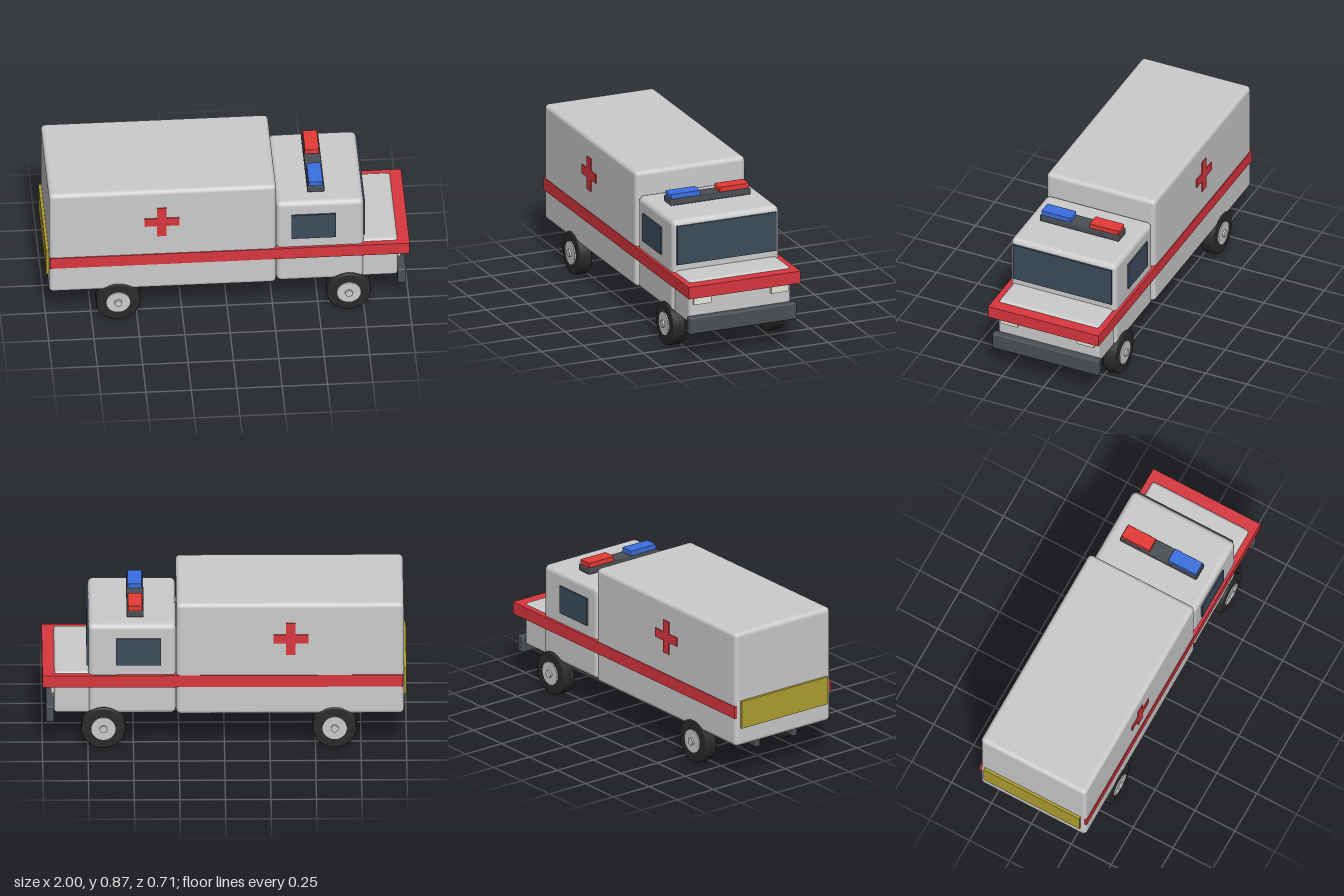
import * as THREE from 'three';
import { RoundedBoxGeometry } from 'three/addons/geometries/RoundedBoxGeometry.js';

const material = (color) => new THREE.MeshStandardMaterial({ color });

export function createModel() {
  const model = new THREE.Group();
  const body = material(0xcccccc);
  const red = material(0xd9363e);
  const lampRed = material(0xe53935);
  const lampBlue = material(0x3b6fe0);
  const dark = material(0x4a4f55);
  const glass = material(0x3c4c5c);
  const rubber = material(0x2a2a2a);
  const lens = material(0xe6e6da);
  const yellow = material(0xb0a030);

  // Box from its limits on each axis, rounded when a radius is given
  function box(name, mat, [x0, x1], [y0, y1], [z0, z1], radius = 0) {
    const size = [x1 - x0, y1 - y0, z1 - z0];
    const geometry = radius
      ? new RoundedBoxGeometry(...size, 4, radius)
      : new THREE.BoxGeometry(...size);
    const mesh = new THREE.Mesh(geometry, mat);
    mesh.name = name;
    mesh.position.set((x0 + x1) / 2, (y0 + y1) / 2, (z0 + z1) / 2);
    model.add(mesh);
  }
  const span = (side, a, b) => (side > 0 ? [a, b] : [-b, -a]);

  // Bodywork
  box('rearBody', body, [-0.985, 0.265], [0.2, 0.87], [-0.33, 0.33], 0.025);
  box('cab', body, [0.267, 0.748], [0.2, 0.74], [-0.32, 0.32], 0.03);
  box('hood', body, [0.7, 0.937], [0.2, 0.45], [-0.305, 0.305], 0.02);
  box('stripe', red, [-0.98, 1.0], [0.37, 0.44], [-0.335, 0.335]);
  box('rearPanel', yellow, [-1.0, -0.98], [0.31, 0.47], [-0.3, 0.3]);
  box('windshield', glass, [0.735, 0.757], [0.485, 0.71], [-0.298, 0.298]);
  box('bumper', dark, [0.935, 0.98], [0.155, 0.25], [-0.322, 0.322], 0.008);

  // Roof light bar
  box('lightBar', dark, [0.443, 0.537], [0.75, 0.787], [-0.24, 0.24], 0.005);
  box('blueLight', lampBlue, [0.45, 0.53], [0.785, 0.815], [0.058, 0.234], 0.004);
  box('redLight', lampRed, [0.45, 0.53], [0.785, 0.815], [-0.234, -0.058], 0.004);

  // Cross outline, extruded into a thin badge
  const a = 0.026, b = 0.096;
  const cross = new THREE.Shape([
    [a, a], [a, b], [-a, b], [-a, a], [-b, a], [-b, -a],
    [-a, -a], [-a, -b], [a, -b], [a, -a], [b, -a], [b, a],
  ].map(([x, y]) => new THREE.Vector2(x, y)));
  const crossGeometry = new THREE.ExtrudeGeometry(cross, { depth: 0.014, bevelEnabled: false });

  for (const side of [1, -1]) {
    box('sideWindow', glass, [0.35, 0.595], [0.5, 0.66], span(side, 0.31, 0.329));
    box('headlight', lens, [0.925, 0.952], [0.314, 0.365], span(side, 0.18, 0.283));
    box('chassisRail', dark, [-0.925, 0.875], [0.138, 0.185], span(side, 0.113, 0.145), 0.008);

    const badge = new THREE.Mesh(crossGeometry, red);
    badge.name = 'sideCross';
    badge.position.set(-0.365, 0.66, side > 0 ? 0.322 : -0.336);
    model.add(badge);
  }

  // Wheels: turned tyre with slightly eased shoulders, hub disc and cap
  const tyreProfile = [
    [0, -0.038], [0.112, -0.038], [0.119, -0.036], [0.122, -0.031],
    [0.122, 0.031], [0.119, 0.036], [0.112, 0.038], [0, 0.038],
  ].map(([r, y]) => new THREE.Vector2(r, y));
  const wheelParts = [
    ['tyre', new THREE.LatheGeometry(tyreProfile, 40), rubber, 0],
    ['hub', new THREE.CylinderGeometry(0.067, 0.067, 0.04, 32), body, 0.025],
    ['hubCap', new THREE.CylinderGeometry(0.021, 0.021, 0.02, 20), body, 0.046],
  ];
  for (const x of [-0.605, 0.665]) {
    for (const side of [1, -1]) {
      const wheel = new THREE.Group();
      wheel.name = 'wheel';
      for (const [name, geometry, mat, offset] of wheelParts) {
        const part = new THREE.Mesh(geometry, mat);
        part.name = name;
        part.position.y = offset;
        wheel.add(part);
      }
      wheel.rotation.x = side * Math.PI / 2;
      wheel.position.set(x, 0.122, side * 0.297);
      model.add(wheel);
    }
  }
  return model;
}
